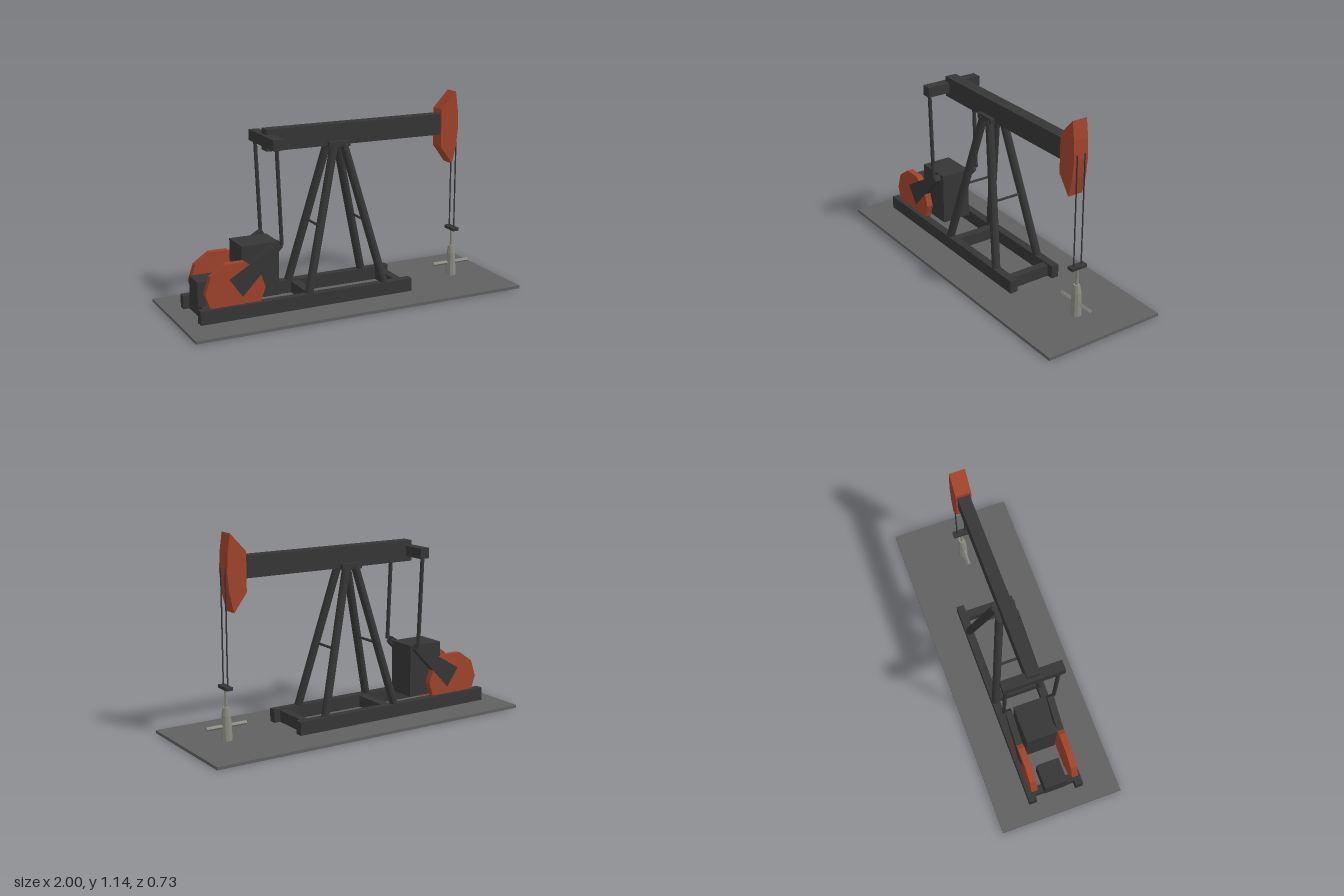
import * as THREE from 'three';

export function createModel() {
  const root = new THREE.Group();
  root.name = 'oilPump';
  const paint = (name, color) => {
    const m = new THREE.MeshStandardMaterial({ color, flatShading: true });
    m.name = name;
    return m;
  };
  const dark = paint('darkSteel', 0x363636);
  const slab = paint('concrete', 0x606060);
  const red = paint('redPaint', 0xa0432b);
  const pale = paint('paleMetal', 0x8c8c84);

  const add = (name, geo, mat) => {
    const m = new THREE.Mesh(geo, mat);
    m.name = name;
    root.add(m);
    return m;
  };
  // Box given by its minimum and maximum on each axis
  const box = (name, mat, x0, x1, y0, y1, z0, z1) =>
    add(name, new THREE.BoxGeometry(x1 - x0, y1 - y0, z1 - z0), mat)
      .position.set((x0 + x1) / 2, (y0 + y1) / 2, (z0 + z1) / 2);
  // Round bar between two points
  const bar = (name, mat, a, b, r, sides = 10) => {
    const p = new THREE.Vector3(...a), q = new THREE.Vector3(...b);
    const d = q.clone().sub(p);
    const m = add(name, new THREE.CylinderGeometry(r, r, d.length(), sides), mat);
    m.position.copy(p).add(q).multiplyScalar(0.5);
    m.quaternion.setFromUnitVectors(new THREE.Vector3(0, 1, 0), d.normalize());
  };
  // Side outline extruded between two depths
  const plate = (name, mat, pts, z0, z1) => {
    const shape = new THREE.Shape(pts.map(([x, y]) => new THREE.Vector2(x, y)));
    const geo = new THREE.ExtrudeGeometry(shape, { depth: z1 - z0, bevelEnabled: false });
    add(name, geo, mat).position.z = z0;
  };

  // Ground slab and skid
  box('groundSlab', slab, -1, 1, 0, 0.017, -0.367, 0.367);
  for (const [x0, x1] of [[-0.865, -0.82], [-0.25, -0.2], [0.3, 0.346]])
    box('skidCrossBeam', dark, x0, x1, 0.017, 0.085, -0.12, 0.12);

  // Gearbox and motor
  box('gearbox', dark, -0.633, -0.414, 0.094, 0.4, -0.09, 0.09);
  box('motor', dark, -0.88, -0.737, 0.085, 0.225, -0.067, 0.067);

  // Mirrored parts on both sides of the beam
  for (const s of [1, -1]) {
    const span = (a, b) => (s > 0 ? [a, b] : [-b, -a]);
    box('skidRail', dark, -0.9, 0.385, 0.017, 0.094, ...span(0.12, 0.166));

    // Ten-sided counterweight and tapered crank
    const weight = [];
    for (let i = 0; i < 10; i++) {
      const a = (i * Math.PI) / 5;
      weight.push([-0.69 + 0.173 * Math.cos(a), 0.172 + 0.165 * Math.sin(a)]);
    }
    plate('counterweight', red, weight, ...span(0.105, 0.143));
    plate('crank', dark, [[-0.725, 0.24], [-0.65, 0.134], [-0.41, 0.385], [-0.43, 0.417]],
      ...span(0.107, 0.145));

    bar('pitmanArm', dark, [-0.422, 0.4, s * 0.151], [-0.445, 0.94, s * 0.151], 0.0115, 8);
    bar('frontLeg', dark, [0.212, 0.09, s * 0.143], [0.005, 0.9, s * 0.043], 0.024);
    bar('rearLeg', dark, [-0.258, 0.09, s * 0.143], [-0.053, 0.9, s * 0.043], 0.024);
    bar('hangerCable', dark, [0.752, 0.31, s * 0.025], [0.752, 0.955, s * 0.025], 0.004, 6);
  }
  for (const x of [-0.165, 0.118])
    bar('legBrace', dark, [x, 0.455, -0.1], [x, 0.455, 0.1], 0.008, 6);

  // Walking beam, its saddle and the equalizer
  box('saddle', dark, -0.088, 0.039, 0.885, 0.917, -0.06, 0.06);
  box('walkingBeam', dark, -0.453, 0.64, 0.893, 1.013, -0.035, 0.035);
  box('equalizer', dark, -0.473, -0.414, 0.923, 0.983, -0.174, 0.174);

  // Curved head of the beam
  plate('beamHead', red, [[0.637, 0.82], [0.714, 0.716], [0.74, 0.822], [0.751, 0.93],
    [0.746, 1.035], [0.731, 1.14], [0.637, 1.04]], -0.045, 0.045);

  // Carrier bar, rod and wellhead
  box('carrierBar', dark, 0.733, 0.772, 0.3, 0.318, -0.05, 0.05);
  bar('polishedRod', pale, [0.752, 0.19, 0], [0.752, 0.302, 0], 0.008, 8);
  const profile = [[0, 0.005], [0.033, 0.005], [0.031, 0.05], [0.026, 0.155], [0.018, 0.2], [0, 0.2]];
  add('wellhead', new THREE.LatheGeometry(profile.map(([x, y]) => new THREE.Vector2(x, y)), 10), pale)
    .position.x = 0.752;
  bar('flowPipe', pale, [0.63, 0.095, 0], [0.872, 0.095, 0], 0.012, 4);
  return root;
}
